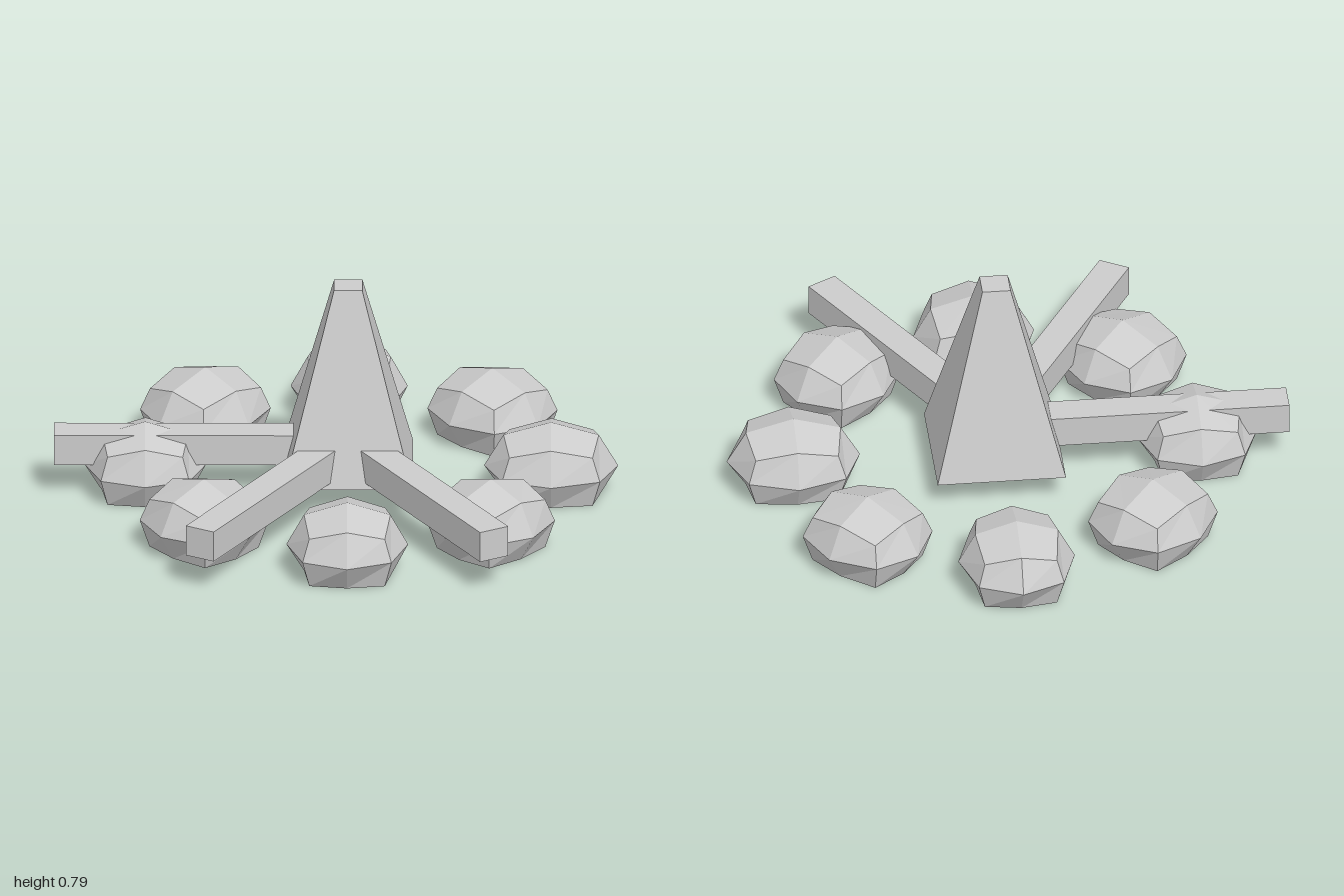
import * as THREE from 'three';

const CX = 0.04, CZ = -0.003; // centre of the fire pit

function material() {
  return new THREE.MeshStandardMaterial({ color: 0xcccccc, flatShading: true });
}

// Flat-bottomed boulder: a 2x2x2 subdivided cube rounded ring by ring
function stoneGeometry(tangent, radial, height) {
  const geo = new THREE.BoxGeometry(2, 2, 2, 2, 2, 2);
  const p = geo.attributes.position;
  for (let i = 0; i < p.count; i++) {
    const x = Math.round(p.getX(i)), y = Math.round(p.getY(i)), z = Math.round(p.getZ(i));
    const corner = Math.abs(x) + Math.abs(z); // 0 centre, 1 edge middle, 2 corner
    const spread = y === 0 ? [0, 1, 0.73][corner] : [0, 0.71, 0.62][corner];
    const level = y < 0 ? 0 : y === 0 ? 0.1 : height * [1, 0.82, 0.69][corner];
    p.setXYZ(i, x * spread * tangent, level, z * spread * radial);
  }
  const flat = geo.toNonIndexed();
  flat.computeVertexNormals();
  return flat;
}

export function createModel() {
  const model = new THREE.Group();
  model.name = 'campfire';
  const pit = new THREE.Group();
  pit.name = 'firePit';
  pit.position.set(CX, 0, CZ);
  model.add(pit);

  // Ring of stones: [tangential radius, radial radius, height], from the front round to +x
  const sizes = [
    [0.215, 0.232, 0.26], [0.225, 0.212, 0.262], [0.21, 0.237, 0.265], [0.23, 0.215, 0.258],
    [0.207, 0.235, 0.258], [0.23, 0.217, 0.26], [0.21, 0.214, 0.265], [0.225, 0.215, 0.26],
  ];
  const stones = new THREE.Group();
  stones.name = 'stoneRing';
  sizes.forEach(([t, r, h], i) => {
    const angle = i * Math.PI / 4;
    const stone = new THREE.Mesh(stoneGeometry(t, r, h), material());
    stone.name = 'stone' + (i + 1);
    stone.position.set(Math.sin(angle) * 0.717, 0, Math.cos(angle) * 0.717);
    stone.rotation.y = angle;
    stones.add(stone);
  });
  pit.add(stones);

  // Three square logs reaching out from under the flame
  const inner = 0.09, outer = 1.04;
  [-90, -30, 30].forEach((deg, i) => {
    const geo = new THREE.BoxGeometry(0.114, 0.113, outer - inner);
    geo.translate(0, 0.179, (outer + inner) / 2);
    const log = new THREE.Mesh(geo, material());
    log.name = 'log' + (i + 1);
    log.rotation.y = deg * Math.PI / 180;
    pit.add(log);
  });

  // Flame: truncated square pyramid, open underneath
  const flameGeo = new THREE.CylinderGeometry(0.05 * Math.SQRT2, 0.228 * Math.SQRT2, 0.69, 4);
  flameGeo.setIndex(Array.from(flameGeo.index.array).slice(0, 36)); // sides and top only
  flameGeo.rotateY(Math.PI / 4);
  const flameMat = material();
  flameMat.side = THREE.DoubleSide;
  const flame = new THREE.Mesh(flameGeo, flameMat);
  flame.name = 'flame';
  flame.position.y = 0.445;
  pit.add(flame);

  return model;
}
